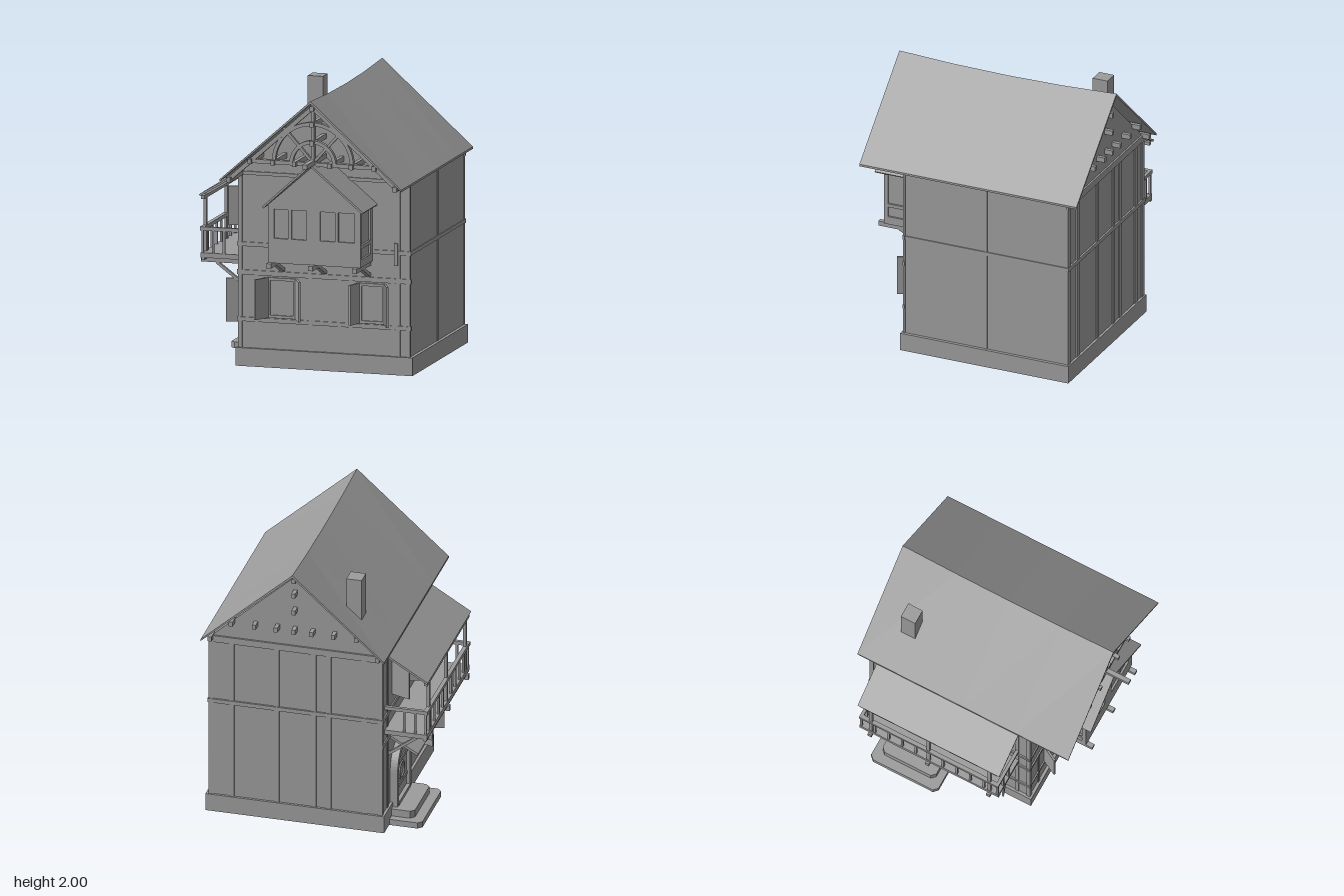
import * as THREE from 'three';

const mat = new THREE.MeshStandardMaterial({ color: 0x9c9c9c, flatShading: true });

export function createModel() {
  const house = new THREE.Group();
  house.name = 'timberHouse';

  const add = (name, geo) => {
    const m = new THREE.Mesh(geo, mat);
    m.name = name;
    house.add(m);
    return m;
  };
  // box given by its limits
  const box = (name, x0, x1, y0, y1, z0, z1) => {
    const m = add(name, new THREE.BoxGeometry(x1 - x0, y1 - y0, z1 - z0));
    m.position.set((x0 + x1) / 2, (y0 + y1) / 2, (z0 + z1) / 2);
    return m;
  };
  // bar from a to b, w across, h in the upright direction
  const bar = (name, a, b, w, h) => {
    const p = new THREE.Vector3(...a), q = new THREE.Vector3(...b);
    const m = add(name, new THREE.BoxGeometry(w, h, p.distanceTo(q)));
    m.position.copy(p).add(q).multiplyScalar(0.5);
    m.lookAt(q);
    return m;
  };
  const poly = (pts) => new THREE.Shape(pts.map((p) => new THREE.Vector2(...p)));
  const rect = (x0, x1, y0, y1) => poly([[x0, y0], [x1, y0], [x1, y1], [x0, y1]]);
  // flat plate with holes, extruded along +z
  const plate = (name, shape, holes, depth, steps = 1) => {
    shape.holes.push(...holes);
    return add(name, new THREE.ExtrudeGeometry(shape, { depth, steps, bevelEnabled: false, curveSegments: 12 }));
  };

  // --- main body
  const cx = 0.143;
  box('foundation', -0.51, 0.8, 0.004, 0.135, -0.84, 0.47);
  plate('walls', poly([[-0.49, 0.1], [0.776, 0.1], [0.776, 1.38], [cx, 1.95], [-0.49, 1.38]]), [], 1.27)
    .position.z = -0.822;

  // --- main roof with a sagging ridge
  const roof = plate('mainRoof', poly([[-0.53, 1.385], [cx, 1.98], [0.815, 1.385], [0.815, 1.4], [cx, 2], [-0.53, 1.4]]), [], 1.69, 4);
  roof.position.z = -0.91;
  const rp = roof.geometry.attributes.position;
  for (let i = 0; i < rp.count; i++) {
    const t = rp.getZ(i) / 0.845 - 1;
    rp.setY(i, rp.getY(i) - 0.025 * (1 - t * t) * Math.max(0, (rp.getY(i) - 1.4) / 0.6));
  }
  roof.geometry.computeVertexNormals();
  box('chimney', -0.302, -0.19, 1.4, 1.91, -0.685, -0.57);

  // --- purlins running out under both gables
  for (const dx of [-0.615, -0.46, -0.29, -0.13, 0.13, 0.29, 0.46, 0.615]) {
    const y = Math.abs(dx) > 0.6 ? 1.395 : 1.535;
    box('purlin', cx + dx - 0.014, cx + dx + 0.014, y - 0.018, y + 0.018, -0.885, 0.755);
  }
  for (const y of [1.535, 1.69, 1.825, 1.94])
    box('ridgePurlin', cx - 0.014, cx + 0.014, y - 0.018, y + 0.018, -0.885, 0.755);

  // --- open gable truss
  const tz = 0.71;
  box('tieBeam', -0.34, 0.625, 1.522, 1.55, tz - 0.02, tz + 0.02);
  box('lowerTie', -0.495, 0.78, 1.38, 1.405, 0.43, 0.46);
  box('kingPost', cx - 0.012, cx + 0.012, 1.53, 1.95, tz - 0.02, tz + 0.02);
  for (const s of [-1, 1]) {
    bar('rafter', [cx, 1.945, tz], [cx + s * 0.63, 1.385, tz], 0.04, 0.03);
    bar('spoke', [cx, 1.545, tz], [cx + s * 0.22, 1.79, tz], 0.025, 0.02);
  }
  for (const r of [0.16, 0.29]) {
    const ring = new THREE.Shape();
    ring.absarc(0, 0, r + 0.013, 0, Math.PI, false);
    ring.absarc(0, 0, r - 0.013, Math.PI, 0, true);
    plate('trussArch', ring, [], 0.035).position.set(cx, 1.535, tz - 0.017);
  }

  // --- wall timbers, with slightly recessed panels between them
  const front = 0.455, back = -0.83, side = -0.496;
  for (const [y0, y1] of [[0.325, 0.355], [0.66, 0.695], [0.865, 0.895]])
    box('frontBand', -0.502, 0.787, y0, y1, 0.44, front + 0.003);
  for (const x of [-0.48, 0.69, 0.765]) box('frontPost', x - 0.015, x + 0.015, 0.135, 1.38, 0.44, front);
  for (const x of [-0.36, 0.04, 0.255, 0.34, 0.65]) box('frontStud', x - 0.012, x + 0.012, 0.135, 0.66, 0.44, front);
  for (const [y0, y1] of [[0.865, 0.895], [1.35, 1.4]])
    box('backBand', -0.502, 0.787, y0, y1, back - 0.005, -0.815);
  for (const x of [-0.478, -0.36, -0.1, 0.01, 0.28, 0.61, 0.763])
    box('backPost', x - 0.018, x + 0.018, 0.135, 1.38, back, -0.815);
  box('sideBand', 0.77, 0.784, 0.867, 0.893, back, front);
  box('sidePost', 0.77, 0.782, 0.135, 1.38, -0.198, -0.182);
  for (const y of [0.34, 0.68, 0.88])
    box('entranceBand', side - 0.004, -0.48, y - 0.015, y + 0.015, y < 0.5 ? -0.2 : back, front);
  for (const z of [-0.815, -0.69, -0.15, 0.35, 0.44])
    box('entrancePost', side, -0.48, 0.135, 1.38, z - 0.014, z + 0.014);
  box('wallPlaque', 0.665, 0.69, 0.79, 0.95, 0.44, 0.47);

  // --- ground-floor front windows with open shutters
  for (const [x0, x1, tl, tr] of [[-0.275, -0.065, -0.335, -0.005], [0.4, 0.595, 0.365, 0.645]]) {
    plate('windowFrame', rect(x0, x1, 0.36, 0.65), [rect(x0 + 0.02, x1 - 0.02, 0.38, 0.63)], 0.014).position.z = 0.445;
    bar('shutter', [x0, 0.505, front], [tl, 0.505, 0.567], 0.015, 0.29);
    bar('shutter', [x1, 0.505, front], [tr, 0.505, 0.567], 0.015, 0.29);
  }

  // --- bay
  plate('bayCore', poly([[-0.17, 0.82], [0.485, 0.82], [0.485, 1.22], [cx, 1.49], [-0.17, 1.22]]), [], 0.29).position.z = 0.43;
  const panes = [[-0.14, -0.035], [-0.01, 0.1], [0.2, 0.31], [0.335, 0.455]].map(([a, b]) => rect(a, b, 0.99, 1.2));
  plate('bayFront', poly([[-0.185, 0.815], [0.5, 0.815], [0.5, 1.23], [cx, 1.52], [-0.185, 1.23]]), panes, 0.015).position.z = 0.72;
  for (const x of [-0.17, 0.5]) {
    const holes = [rect(0.5, 0.705, 0.97, 1.2), rect(0.5, 0.705, 0.87, 0.945)];
    const cheek = plate('baySide', rect(0.45, 0.72, 0.815, 1.23), holes, 0.015);
    cheek.rotation.y = -Math.PI / 2;
    cheek.position.x = x;
  }
  box('bayFloor', -0.185, 0.5, 0.812, 0.83, 0.45, 0.735);
  for (const dx of [-0.352, 0.39])
    bar('bayRoof', [cx, 1.54, 0.62], [cx + dx, 1.217, 0.62], 0.34, 0.014);
  box('bayRidgeBeam', 0.127, 0.16, 1.535, 1.568, 0.45, 0.91);
  for (const x of [-0.165, 0.145, 0.47]) {
    box('bayJoist', x - 0.017, x + 0.017, 0.78, 0.815, 0.44, 0.785);
    bar('bayBrace', [x, 0.785, 0.62], [x, 0.71, 0.45], 0.033, 0.025);
  }

  // --- balcony
  box('balconyDeck', -0.8, -0.485, 0.745, 0.78, -0.75, 0.365);
  box('balconyEdgeBeam', -0.795, -0.77, 0.73, 0.75, -0.75, 0.365);
  bar('balconyRoof', [-0.805, 1.195, -0.192], [-0.49, 1.385, -0.192], 1.135, 0.015);
  box('balconyEave', -0.8, -0.775, 1.165, 1.19, -0.74, 0.355);
  for (const z of [-0.66, -0.2, 0.29]) {
    box('balconyJoist', -0.815, -0.485, 0.705, 0.745, z - 0.015, z + 0.015);
    box('balconyPost', -0.797, -0.775, 0.78, 1.19, z - 0.012, z + 0.012);
    bar('balconyRafter', [-0.79, 1.19, z], [-0.49, 1.371, z], 0.02, 0.02);
    bar('balconyBrace', [-0.7, 0.705, z], [-0.49, 0.547, z], 0.025, 0.02);
  }
  box('longRail', -0.805, -0.775, 0.94, 0.967, -0.75, 0.365);
  for (let i = 0; i < 11; i++) {
    const z = -0.738 + i * 0.1091;
    box('baluster', -0.796, -0.78, 0.78, 0.94, z - 0.008, z + 0.008);
  }
  for (const z of [-0.738, 0.353]) {
    box('endRail', -0.8, -0.485, 0.94, 0.967, z - 0.012, z + 0.012);
    for (const x of [-0.71, -0.63]) box('endBaluster', x - 0.008, x + 0.008, 0.78, 0.94, z - 0.008, z + 0.008);
  }

  // --- windows on the entrance side: two above, one below
  for (const [z0, z1, y0, y1] of [[-0.55, -0.35, 0.97, 1.25], [0, 0.2, 0.97, 1.25], [0.06, 0.26, 0.285, 0.6]]) {
    const f = plate('sideWindowFrame', rect(z0, z1, y0, y1), [rect(z0 + 0.02, z1 - 0.02, y0 + 0.02, y1 - 0.02)], 0.014);
    f.rotation.y = -Math.PI / 2;
    f.position.x = -0.488;
    const y = (y0 + y1) / 2;
    bar('sideShutter', [-0.49, y, z0], [-0.63, y, z0 - 0.05], 0.015, y1 - y0);
    bar('sideShutter', [-0.49, y, z1], [-0.63, y, z1 + 0.05], 0.015, y1 - y0);
  }

  // --- arched door, canopy and steps
  const dz = -0.43;
  const arch = (r, y0) => {
    const s = new THREE.Shape();
    s.moveTo(-r, y0);
    s.lineTo(r, y0);
    s.absarc(0, 0.37, r, 0, Math.PI, false);
    return s;
  };
  for (const [name, shape, holes, d] of [['doorFrame', arch(0.18, 0.1), [arch(0.14, 0.12)], 0.055], ['door', arch(0.145, 0.11), [], 0.03]]) {
    const m = plate(name, shape, holes, d);
    m.rotation.y = -Math.PI / 2;
    m.position.set(-0.49, 0, dz);
  }
  for (const y of [0.22, 0.4]) box('doorStrap', -0.528, -0.51, y - 0.012, y + 0.012, dz - 0.135, dz + 0.135);
  const ring = add('doorRing', new THREE.TorusGeometry(0.06, 0.01, 6, 16));
  ring.rotation.y = Math.PI / 2;
  ring.position.set(-0.522, 0.31, dz);
  bar('doorCanopy', [-0.7, 0.555, dz], [-0.485, 0.678, dz], 0.42, 0.018);
  for (const [x, w, y0, y1] of [[-0.745, 0.27, 0, 0.045], [-0.675, 0.215, 0.045, 0.1], [-0.548, 0.18, 0.1, 0.125]]) {
    const c = 0.03;
    const s = plate('doorStep', poly([[-0.49, -w], [-0.49, w], [x + c, w], [x, w - c], [x, c - w], [x + c, -w]]), [], y1 - y0);
    s.rotation.x = -Math.PI / 2;
    s.position.set(0, y0, dz);
  }

  return house;
}
